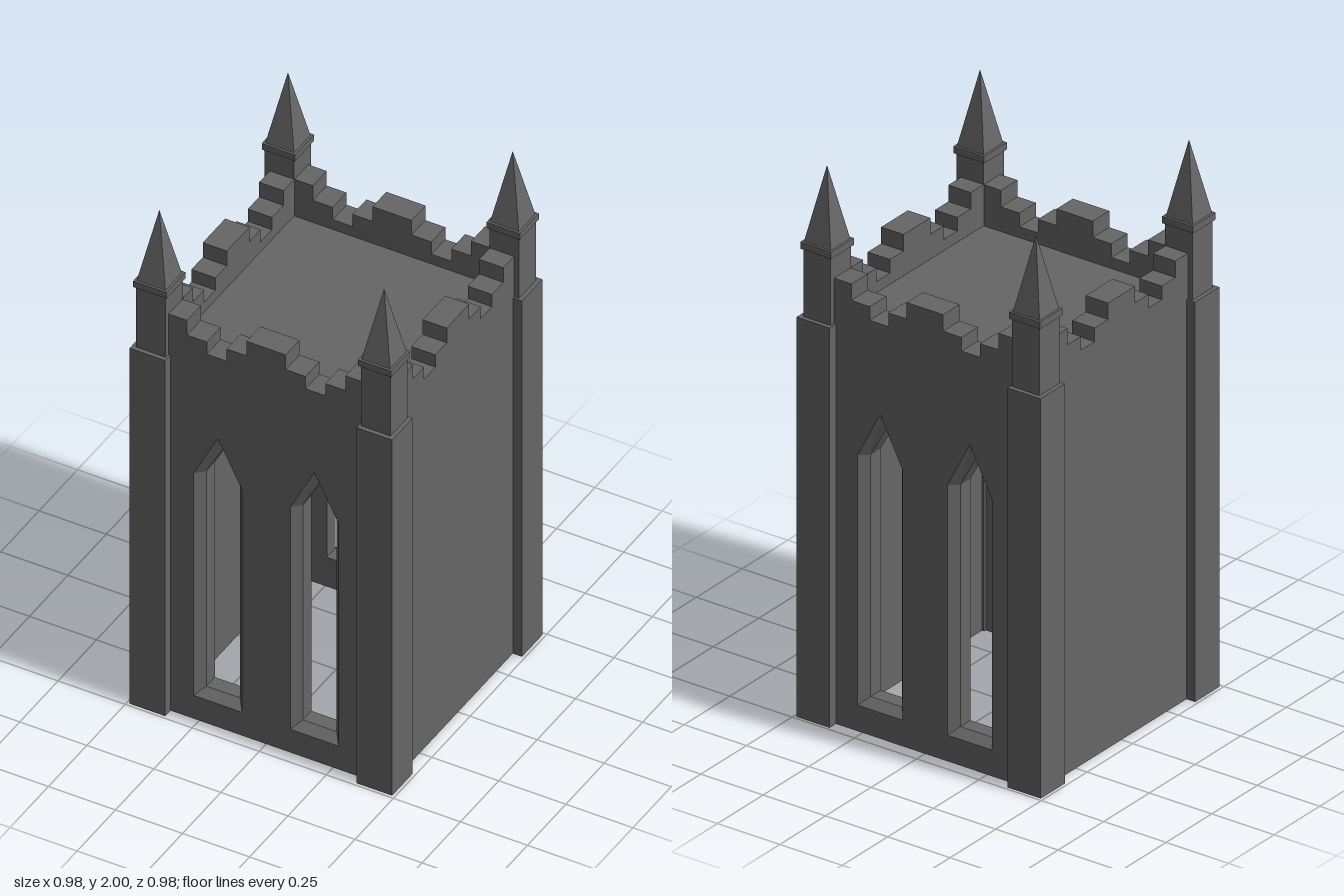
import * as THREE from 'three';

const stone = new THREE.MeshStandardMaterial({ color: 0x666666 });
stone.name = 'grey stone';

const OUT = 0.455, IN = 0.365, SPLAY = 0.035;

// Lancet outline, counter-clockwise from the lower left
const lancet = (cx, half, sill, spring, apex) => [
  [cx - half, sill], [cx + half, sill], [cx + half, spring], [cx, apex], [cx - half, spring],
].map(([x, y]) => new THREE.Vector2(x, y));

// Wall elevation with a stepped parapet
function wallShape(holes = []) {
  const steps = [[0.073, 1.62], [0.147, 1.56], [0.221, 1.51], [0.295, 1.56], [0.42, 1.62]];
  const half = [];
  let start = 0;
  for (const [x, y] of steps) {
    half.push([start, y], [x, y]);
    start = x;
  }
  half.shift();
  const pts = [[-0.42, 0], [0.42, 0], ...half.slice().reverse(), ...half.map(([x, y]) => [-x, y])];
  const shape = new THREE.Shape(pts.map(([x, y]) => new THREE.Vector2(x, y)));
  holes.forEach((h) => shape.holes.push(new THREE.Path(h)));
  return shape;
}

function add(parent, name, geometry, x = 0, y = 0, z = 0) {
  const mesh = new THREE.Mesh(geometry, stone);
  mesh.name = name;
  mesh.position.set(x, y, z);
  parent.add(mesh);
  return mesh;
}

const slab = (shape, depth) => new THREE.ExtrudeGeometry(shape, { depth, bevelEnabled: false });

// Sloping surround from the wide outer outline to the narrow opening
function splayGeometry(outer, inner) {
  const pos = [];
  outer.forEach((a, i) => {
    const j = (i + 1) % outer.length;
    const b = outer[j], c = inner[j], d = inner[i];
    const zi = OUT - SPLAY;
    pos.push(a.x, a.y, OUT, b.x, b.y, OUT, c.x, c.y, zi);
    pos.push(a.x, a.y, OUT, c.x, c.y, zi, d.x, d.y, zi);
  });
  const g = new THREE.BufferGeometry();
  g.setAttribute('position', new THREE.Float32BufferAttribute(pos, 3));
  g.computeVertexNormals();
  return g;
}

function windowWall() {
  const wall = new THREE.Group();
  const centres = [-0.18, 0.18];
  const inner = centres.map((c) => lancet(c, 0.063, 0.12, 1.0, 1.115));
  const outer = centres.map((c) => lancet(c, 0.09, 0.095, 1.005, 1.18));
  add(wall, 'wallCore', slab(wallShape(inner), OUT - SPLAY - IN), 0, 0, IN);
  add(wall, 'wallFace', slab(wallShape(outer), SPLAY), 0, 0, OUT - SPLAY);
  outer.forEach((o, i) => add(wall, 'windowSplay', splayGeometry(o, inner[i])));
  return wall;
}

function plainWall() {
  const wall = new THREE.Group();
  add(wall, 'wallSlab', slab(wallShape(), OUT - IN), 0, 0, IN);
  return wall;
}

// Corner pier, pinnacle shaft, moulding and spire
function cornerTurret() {
  const g = new THREE.Group();
  add(g, 'pier', new THREE.BoxGeometry(0.133, 1.455, 0.133), 0.004, 0.7275, 0.004);
  add(g, 'pinnacleShaft', new THREE.BoxGeometry(0.11, 0.26, 0.11), 0, 1.575, 0);
  add(g, 'pinnacleMoulding', new THREE.BoxGeometry(0.124, 0.025, 0.124), 0, 1.715, 0);
  const spire = new THREE.ConeGeometry(0.0535 * Math.SQRT2, 0.2725, 4, 1).toNonIndexed();
  spire.rotateY(Math.PI / 4);
  spire.computeVertexNormals();
  add(g, 'spire', spire, 0, 1.86375, 0);
  return g;
}

export function createModel() {
  const tower = new THREE.Group();
  tower.name = 'tower';

  // Windows on the front and back, plain walls on the sides
  ['frontWall', 'leftWall', 'backWall', 'rightWall'].forEach((name, i) => {
    const wall = i % 2 ? plainWall() : windowWall();
    wall.name = name;
    wall.rotation.y = i * Math.PI / 2;
    tower.add(wall);
  });

  // Four turrets, each turned to face its own corner
  for (let i = 0; i < 4; i++) {
    const arm = new THREE.Group();
    arm.name = 'cornerTurret';
    const turret = cornerTurret();
    turret.position.set(0.419, 0, 0.419);
    arm.add(turret);
    arm.rotation.y = i * Math.PI / 2;
    tower.add(arm);
  }

  // Roof deck sunk behind the parapet; the base stays open
  add(tower, 'roofDeck', new THREE.BoxGeometry(IN * 2, 0.12, IN * 2), 0, 1.41, 0);
  return tower;
}
